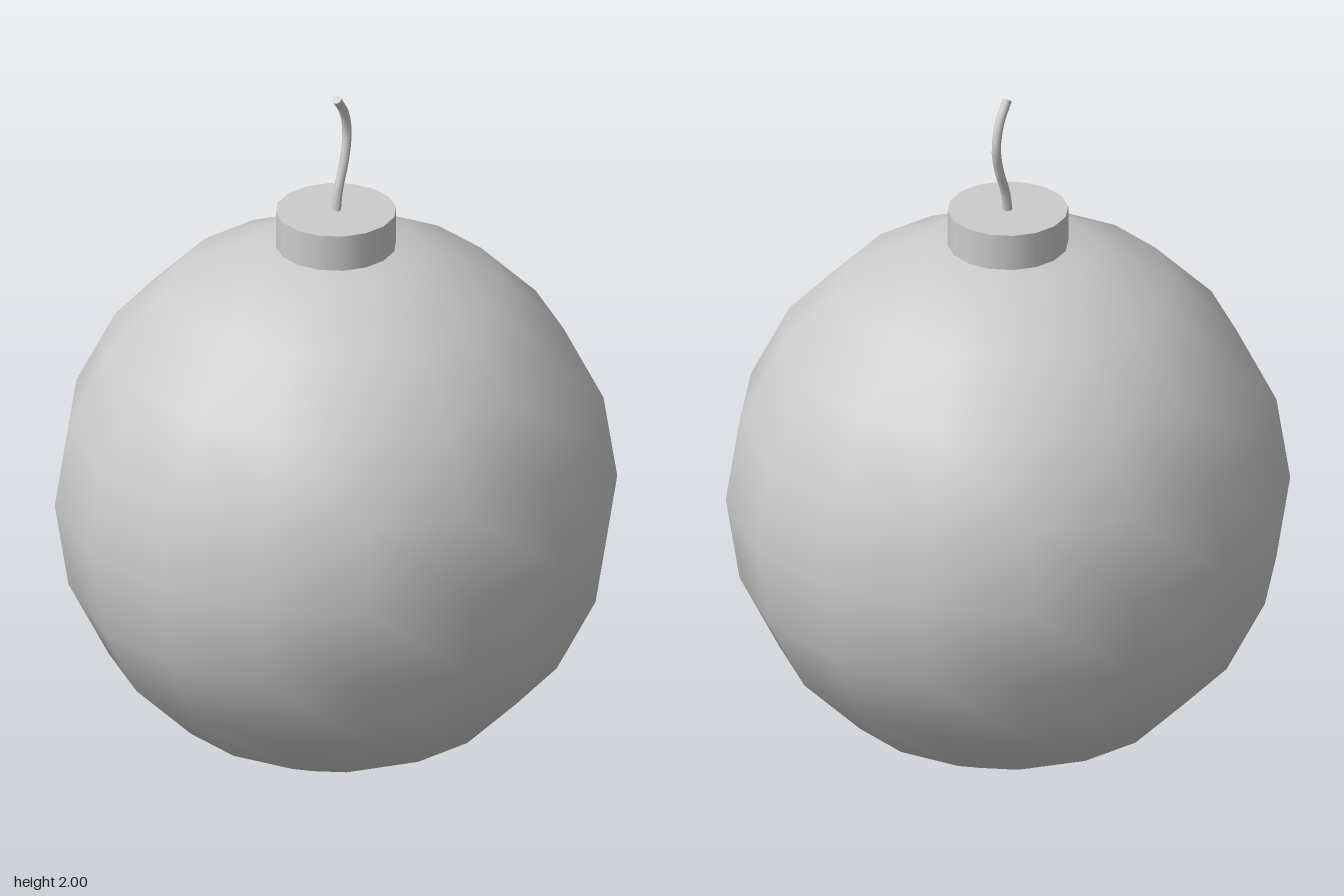
import * as THREE from 'three';

const grey = new THREE.MeshStandardMaterial({ color: 0xcccccc });

function part(name, geometry, parent, y = 0) {
  const mesh = new THREE.Mesh(geometry, grey);
  mesh.name = name;
  mesh.position.y = y;
  parent.add(mesh);
  return mesh;
}

export function createModel() {
  const model = new THREE.Group();
  model.name = 'roundBomb';

  // Round body: coarse sphere with smooth normals
  const body = new THREE.SphereGeometry(0.782, 16, 10);
  body.scale(1, 0.787 / 0.782, 1);
  part('body', body, model, 0.787);

  // Short neck, sunk slightly into the body
  const top = 1.653, bottom = 1.53;
  part('neck', new THREE.CylinderGeometry(0.167, 0.167, top - bottom, 16), model, (top + bottom) / 2);

  // Wavy fuse: bends towards the left and back, then returns to the axis
  const path = new THREE.CatmullRomCurve3([
    [0, 1.64, 0], [0.008, 1.71, -0.011], [0.028, 1.79, -0.036],
    [0.037, 1.865, -0.052], [0.027, 1.935, -0.036], [0.002, 1.991, -0.002],
  ].map((p) => new THREE.Vector3(...p)));
  const radius = 0.013, sides = 8;
  const fuse = new THREE.Group();
  fuse.name = 'fuse';
  model.add(fuse);
  part('fuseCord', new THREE.TubeGeometry(path, 12, radius, sides), fuse);

  // Flat disc closing the free end of the fuse
  const tip = part('fuseTip', new THREE.CircleGeometry(radius, sides), fuse);
  tip.position.copy(path.getPoint(1));
  tip.quaternion.setFromUnitVectors(new THREE.Vector3(0, 0, 1), path.getTangent(1));

  return model;
}
